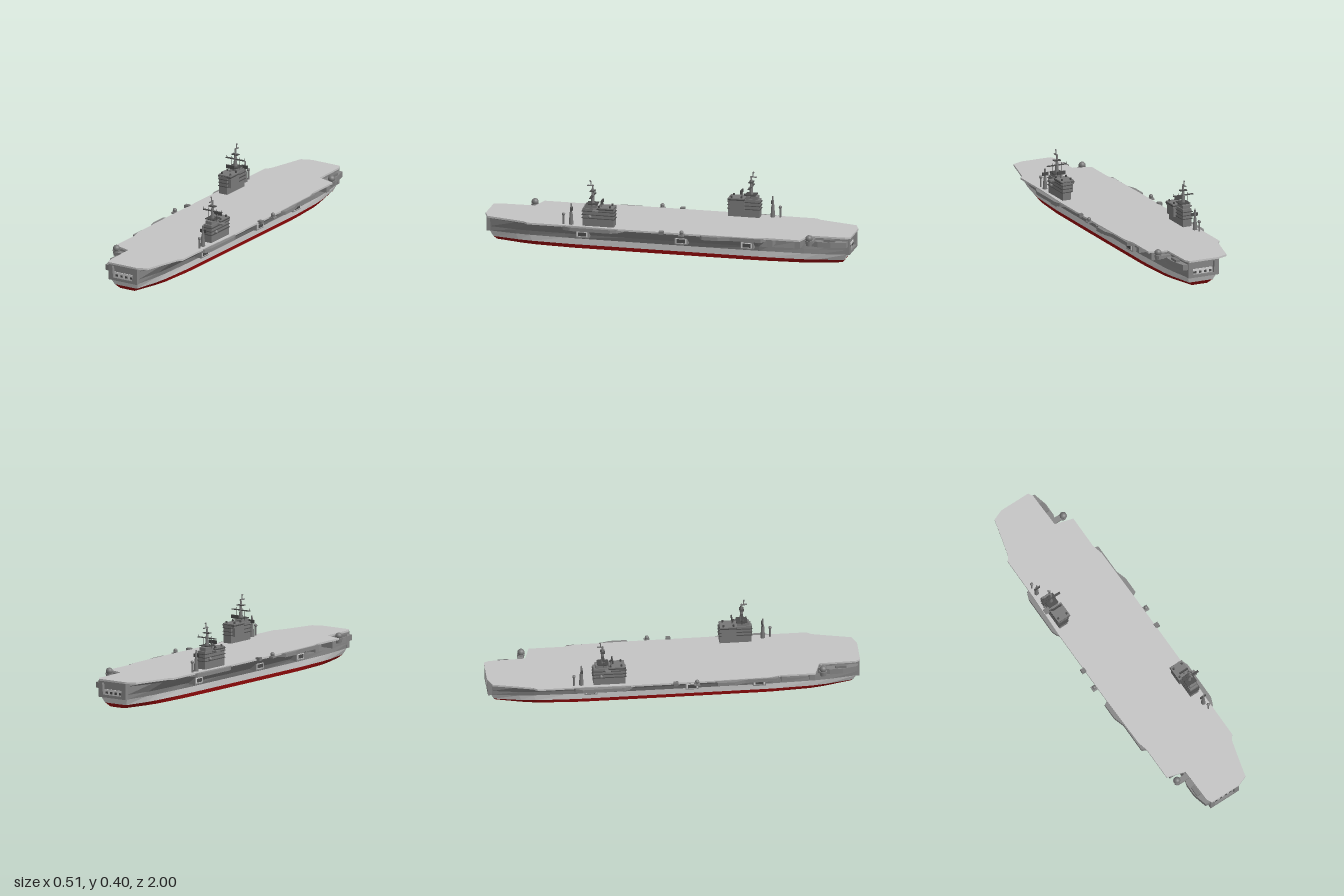
import * as THREE from 'three';

const flat = (name, color) => {
  const m = new THREE.MeshStandardMaterial({ color });
  m.name = name;
  return m;
};

export function createModel() {
  const M = {
    deck: flat('deck grey', 0xc4c4c4),
    hull: flat('hull grey', 0x858585),
    island: flat('superstructure grey', 0x787878),
    dark: flat('dark grey', 0x4a4a4a),
    light: flat('waterline grey', 0xcfcfcf),
    keel: flat('keel grey', 0x707070),
    red: flat('antifouling red', 0x960a0a),
  };
  const model = new THREE.Group();
  model.name = 'carrier';

  const add = (parent, name, geo, mat, x = 0, y = 0, z = 0) => {
    const mesh = new THREE.Mesh(geo, mat);
    mesh.name = name;
    mesh.position.set(x, y, z);
    parent.add(mesh);
    return mesh;
  };
  // Box given by its min and max on each axis
  const box = (parent, name, mat, x0, x1, y0, y1, z0, z1) =>
    add(parent, name, new THREE.BoxGeometry(x1 - x0, y1 - y0, z1 - z0), mat,
      (x0 + x1) / 2, (y0 + y1) / 2, (z0 + z1) / 2);
  const cyl = (parent, name, mat, r0, r1, y0, y1, x, z, n = 10) =>
    add(parent, name, new THREE.CylinderGeometry(r1, r0, y1 - y0, n), mat, x, (y0 + y1) / 2, z);
  // Horizontal plate from an outline in x and z
  const plate = (parent, name, mat, pts, y0, y1) => {
    const shape = new THREE.Shape(pts.map(p => new THREE.Vector2(...p)));
    const geo = new THREE.ExtrudeGeometry(shape, { depth: y1 - y0, bevelEnabled: false });
    geo.rotateX(Math.PI / 2);
    return add(parent, name, geo, mat, 0, y1, 0);
  };

  // Hull bands: half widths on +x at stations from back to front;
  // the -x side repeats them turned half way round
  const stations = [-1, -0.85, -0.77, -0.57, -0.52, -0.2, 0.2, 0.52, 0.57, 0.77, 0.85, 1];
  const sym = a => [...a, ...[...a].reverse()];
  const levels = [
    { y: 0, len: 0.945, w: sym([0.045, 0.085, 0.1, 0.113, 0.115, 0.116]) },
    { y: 0.021, len: 0.96, w: sym([0.07, 0.1, 0.11, 0.119, 0.12, 0.12]) },
    { y: 0.055, len: 0.975, w: sym([0.086, 0.108, 0.115, 0.121, 0.123, 0.124]) },
    { y: 0.08, len: 0.975, w: [0.088, 0.106, 0.113, 0.122, 0.13, 0.135, 0.135, 0.13, 0.126, 0.122, 0.115, 0.088] },
    { y: 0.125, len: 0.975, w: [0.09, 0.1, 0.108, 0.125, 0.183, 0.19, 0.19, 0.183, 0.165, 0.16, 0.14, 0.09] },
    { y: 0.145, len: 0.975, w: [0.09, 0.1, 0.108, 0.128, 0.2, 0.206, 0.206, 0.2, 0.185, 0.18, 0.16, 0.09] },
  ];
  const n = stations.length;
  const right = (l, i) => [l.w[i], l.y, stations[i] * l.len];
  const left = (l, i) => [-l.w[n - 1 - i], l.y, stations[i] * l.len];
  const ring = l => [...stations.map((s, i) => right(l, i)), ...stations.map((s, i) => left(l, n - 1 - i))];
  const loft = (name, mat, lv, capY) => {
    const v = [];
    for (let k = 0; k + 1 < lv.length; k++) {
      const a = ring(lv[k]), b = ring(lv[k + 1]);
      for (let i = 0; i < a.length; i++) {
        const j = (i + 1) % a.length;
        v.push(...a[i], ...b[i], ...a[j], ...a[j], ...b[i], ...b[j]);
      }
    }
    if (capY) for (let i = 0; i + 1 < n; i++) {
      const l = lv[0];
      v.push(...right(l, i), ...right(l, i + 1), ...left(l, i));
      v.push(...left(l, i), ...right(l, i + 1), ...left(l, i + 1));
    }
    const geo = new THREE.BufferGeometry();
    geo.setAttribute('position', new THREE.Float32BufferAttribute(v, 3));
    geo.computeVertexNormals();
    add(model, name, geo, mat);
  };
  loft('lowerHull', M.red, levels.slice(0, 2), true);
  loft('waterlineBand', M.light, levels.slice(1, 3));
  loft('upperHull', M.hull, levels.slice(2));
  plate(model, 'keelPlate', M.keel,
    [[0.02, -0.85], [0.1, -0.4], [0.1, 0.4], [0.02, 0.85], [-0.02, 0.85], [-0.1, 0.4], [-0.1, -0.4], [-0.02, -0.85]], -0.001, 0.002);

  // Flight deck
  const edge = [[0.085, -0.997], [0.1, -0.97], [0.105, -0.775], [0.205, -0.745], [0.205, -0.56],
    [0.22, -0.5], [0.226, -0.2], [0.228, 0.25], [0.22, 0.5], [0.22, 0.74], [0.2, 0.765],
    [0.177, 0.85], [0.145, 0.975], [0.087, 0.998]];
  plate(model, 'flightDeck', M.deck, [...edge, ...edge.map(([x, z]) => [-x, -z])], 0.143, 0.153);

  // Everything else is made once and repeated turned half way round
  const makeHalf = () => {
    const g = new THREE.Group();

    // End gallery: frame with an opening
    const frame = new THREE.Shape([[-0.09, 0.055], [0.09, 0.055], [0.09, 0.145], [-0.09, 0.145]].map(p => new THREE.Vector2(...p)));
    frame.holes.push(new THREE.Path([[-0.06, 0.07], [-0.066, 0.135], [0.066, 0.135], [0.06, 0.07]].map(p => new THREE.Vector2(...p))));
    add(g, 'endFrame', new THREE.ExtrudeGeometry(frame, { depth: 0.022, bevelEnabled: false }), M.hull, 0, 0, 0.971);
    box(g, 'endPanel', M.light, -0.06, 0.06, 0.07, 0.098, 0.97, 0.979);
    for (const x of [-0.045, -0.015, 0.015, 0.045])
      box(g, 'endDoor', M.dark, x - 0.007, x + 0.007, 0.074, 0.086, 0.976, 0.981);

    // Side catwalks and sponsons
    plate(g, 'islandCatwalk', M.hull, [[0.19, 0.21], [0.235, 0.25], [0.246, 0.28], [0.246, 0.5], [0.23, 0.54], [0.19, 0.56]], 0.13, 0.149);
    plate(g, 'sideCatwalk', M.hull, [[0.19, -0.56], [0.228, -0.54], [0.228, -0.37], [0.247, -0.31], [0.247, -0.22], [0.19, -0.19]], 0.13, 0.149);
    plate(g, 'endCatwalk', M.hull, [[0.09, -0.985], [0.115, -0.98], [0.135, -0.9], [0.135, -0.83], [0.115, -0.77], [0.09, -0.77]], 0.1, 0.13);
    box(g, 'catwalkGun', M.island, 0.105, 0.128, 0.13, 0.142, -0.92, -0.86);
    box(g, 'domeArm', M.hull, 0.1, 0.175, 0.125, 0.14, -0.81, -0.78);

    // Domes on round platforms
    const dome = (x, y, z, r) => {
      cyl(g, 'domeBase', M.hull, r * 0.8, r * 1.1, y - r * 2, y - r * 0.5, x, z, 14);
      add(g, 'radarDome', new THREE.SphereGeometry(r, 14, 10), M.island, x, y, z);
    };
    dome(0.17, 0.155, -0.79, 0.019);
    dome(0.24, 0.162, -0.11, 0.011);
    box(g, 'domePlatform', M.hull, 0.2, 0.254, 0.143, 0.15, -0.125, -0.095);
    box(g, 'deckEdgeLocker', M.island, 0.222, 0.246, 0.143, 0.16, -0.01, 0.015);

    // Framed openings in the flare
    for (const z of [-0.45, -0.09, 0.45]) {
      box(g, 'openingFrame', M.hull, 0.125, 0.17, 0.073, 0.115, z - 0.035, z + 0.035);
      box(g, 'openingSill', M.light, 0.168, 0.173, 0.08, 0.108, z - 0.03, z + 0.03);
      box(g, 'opening', M.dark, 0.17, 0.175, 0.084, 0.104, z - 0.022, z + 0.022);
    }
    // Supports under the deck overhang
    for (const z of [-0.73, -0.58])
      box(g, 'overhangSupport', M.hull, 0.1, 0.185, 0.1, 0.143, z - 0.015, z + 0.015);

    // Island
    const isl = new THREE.Group();
    isl.name = 'island';
    g.add(isl);
    box(isl, 'islandBody', M.island, 0.155, 0.205, 0.153, 0.25, 0.27, 0.44);
    box(isl, 'islandInnerBlock', M.island, 0.138, 0.156, 0.19, 0.25, 0.28, 0.36);
    for (const y of [0.195, 0.214, 0.233])
      box(isl, 'islandWalkway', M.dark, 0.15, 0.21, y, y + 0.003, 0.265, 0.445);
    box(isl, 'bridge', M.island, 0.136, 0.212, 0.238, 0.258, 0.272, 0.36);
    box(isl, 'bridgeWindows', M.dark, 0.135, 0.213, 0.246, 0.252, 0.271, 0.361);
    box(isl, 'bridgeWing', M.island, 0.2, 0.238, 0.24, 0.247, 0.35, 0.38);
    box(isl, 'funnel', M.island, 0.16, 0.2, 0.25, 0.268, 0.365, 0.43);
    add(isl, 'sideDome', new THREE.SphereGeometry(0.011, 12, 8), M.island, 0.208, 0.205, 0.4);
    for (const [x, z] of [[0.148, 0.29], [0.2, 0.29], [0.148, 0.345], [0.204, 0.35]])
      cyl(isl, 'bridgeSensor', M.dark, 0.006, 0.005, 0.256, 0.268, x, z, 8);

    // Main mast with yards and antennas
    cyl(isl, 'mast', M.island, 0.013, 0.004, 0.25, 0.375, 0.18, 0.39);
    cyl(isl, 'mastTop', M.island, 0.003, 0.003, 0.37, 0.395, 0.18, 0.4, 8);
    box(isl, 'mastTopArm', M.island, 0.176, 0.184, 0.368, 0.373, 0.385, 0.42);
    add(isl, 'mastTip', new THREE.SphereGeometry(0.005, 8, 6), M.island, 0.18, 0.396, 0.403);
    for (const [y, half, depth] of [[0.272, 0.03, 0.03], [0.313, 0.058, 0.006], [0.34, 0.02, 0.012]])
      box(isl, 'yard', M.dark, 0.18 - half, 0.18 + half, y, y + 0.004, 0.39 - depth, 0.39 + depth);
    for (const s of [-1, 1]) {
      for (const d of [0.027, 0.056])
        cyl(isl, 'whipAntenna', M.dark, 0.001, 0.001, 0.313, 0.328, 0.18 + s * d, 0.39, 5);
      cyl(isl, 'mastStay', M.dark, 0.0015, 0.0015, 0.262, 0.314, 0.18 + s * 0.027, 0.39, 5);
    }
    box(isl, 'radarPanel', M.dark, 0.155, 0.205, 0.277, 0.296, 0.335, 0.341);
    cyl(isl, 'radarPost', M.island, 0.005, 0.004, 0.255, 0.28, 0.18, 0.342, 8);

    // Separate radar tower
    cyl(isl, 'towerLower', M.island, 0.013, 0.008, 0.153, 0.22, 0.193, 0.505, 8);
    cyl(isl, 'towerUpper', M.island, 0.006, 0.004, 0.22, 0.268, 0.193, 0.505, 8);
    box(isl, 'towerRadar', M.dark, 0.175, 0.211, 0.228, 0.246, 0.498, 0.504);
    cyl(isl, 'smallDomePost', M.island, 0.005, 0.005, 0.149, 0.205, 0.198, 0.545, 8);
    add(isl, 'smallDome', new THREE.SphereGeometry(0.009, 10, 8), M.island, 0.198, 0.208, 0.545);
    return g;
  };
  const front = makeHalf(), back = makeHalf();
  front.name = 'frontFittings';
  back.name = 'backFittings';
  back.rotation.y = Math.PI;
  model.add(front, back);
  return model;
}
